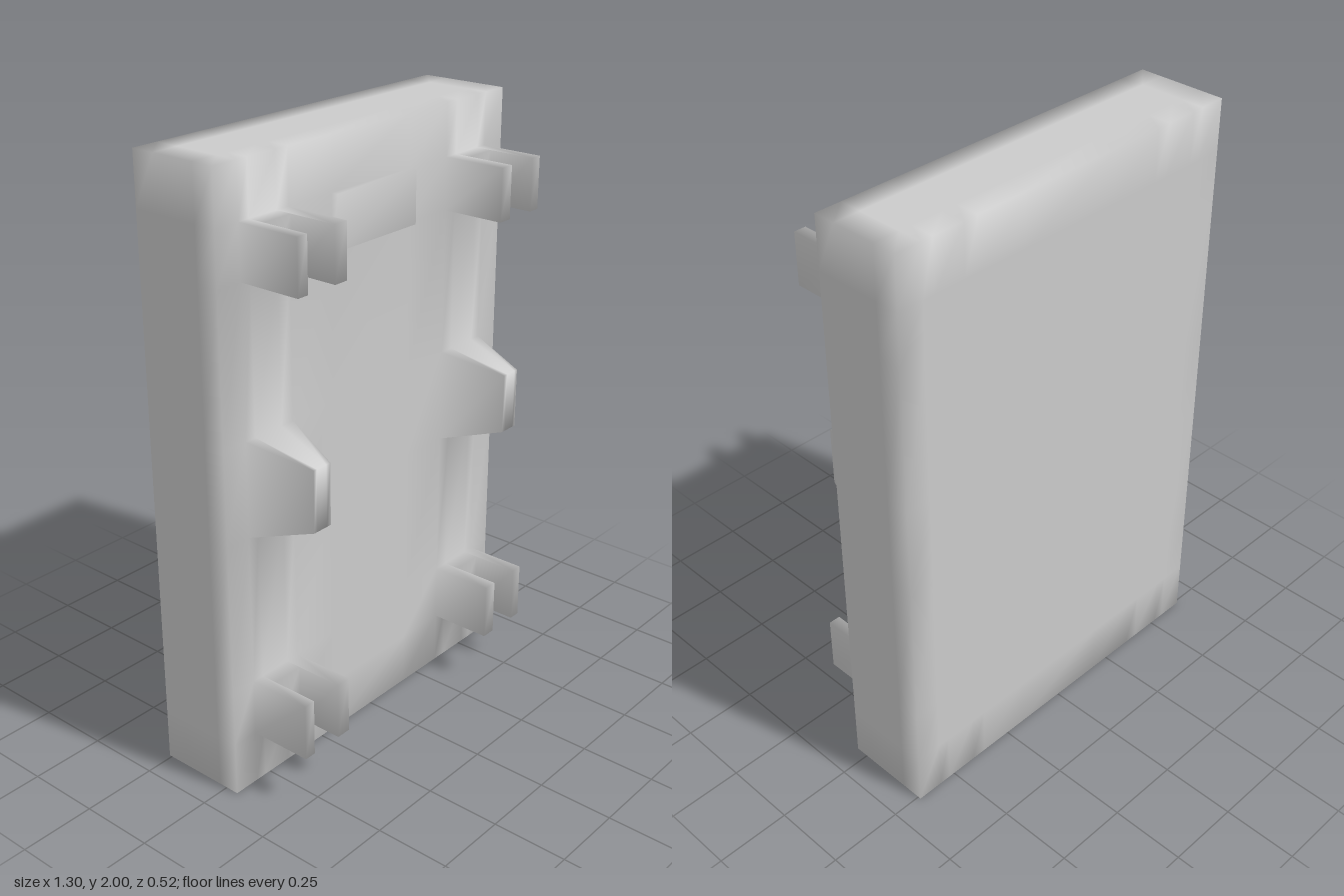
import * as THREE from 'three';
import { mergeVertices } from 'three/addons/utils/BufferGeometryUtils.js';

// Shared grid: every part grows out of cells of the front face
const XS = [-0.65, -0.56, -0.52, -0.41, -0.36, -0.18, 0.18, 0.36, 0.41, 0.52, 0.56, 0.65];
const YS = [0, 0.18, 0.37, 0.87, 1.18, 1.66, 1.83, 2];
const ZS = [-0.26, -0.18, -0.03, 0.045];
const NX = XS.length - 1, NY = YS.length - 1, BACK = ZS[0], FRONT = ZS[3];

// What stands on a front cell: part name and height
function cellAt(i, j) {
  const k = Math.min(i, NX - 1 - i); // mirrored column
  const side = i < NX / 2 ? 'right' : 'left';
  if (k >= 1 && k <= 3) {
    if (j === 1 || j === 5) return { part: side + (j === 1 ? 'LowerClip' : 'UpperClip'), z: k === 2 ? 0.1 : 0.258 };
    if (j === 3) return { part: side + 'Wedge', z: 0.25, taper: true };
  }
  if (k === 5 && j === 5) return { part: 'latch', z: 0.07 };
  return { part: 'slab', z: FRONT };
}

// Corner of a cell at its own height; wedge tops shrink toward their centre
function corner(i, j, cell) {
  let x = XS[i], y = YS[j];
  if (cell.taper) {
    const cx = Math.sign(x) * 0.465;
    x = cx + (x - cx) * 0.36;
    y = 1.03 + (y - 1.025) * 0.645;
  }
  return [x, y, cell.z];
}

export function createModel() {
  const group = new THREE.Group();
  const parts = {};
  const quad = (name, a, b, c, d) => (parts[name] ??= []).push(...a, ...b, ...c, ...a, ...c, ...d);

  for (let i = 0; i < NX; i++) {
    for (let j = 0; j < NY; j++) {
      const a = cellAt(i, j);
      const [x0, x1, y0, y1] = [XS[i], XS[i + 1], YS[j], YS[j + 1]];
      // Front caps and back panel
      quad(a.part, corner(i, j, a), corner(i + 1, j, a), corner(i + 1, j + 1, a), corner(i, j + 1, a));
      quad('slab', [x1, y0, BACK], [x0, y0, BACK], [x0, y1, BACK], [x1, y1, BACK]);
      // Walls where neighbouring cells differ in height
      if (i < NX - 1) {
        const b = cellAt(i + 1, j);
        if (a.z !== b.z) {
          quad(a.z > b.z ? a.part : b.part,
            corner(i + 1, j, a), corner(i + 1, j, b), corner(i + 1, j + 1, b), corner(i + 1, j + 1, a));
        }
      }
      if (j < NY - 1) {
        const b = cellAt(i, j + 1);
        if (a.z !== b.z) {
          quad(a.z > b.z ? a.part : b.part,
            corner(i, j + 1, a), corner(i + 1, j + 1, a), corner(i + 1, j + 1, b), corner(i, j + 1, b));
        }
      }
    }
  }

  // Rim of the slab
  for (let k = 0; k < ZS.length - 1; k++) {
    const [z0, z1] = [ZS[k], ZS[k + 1]];
    for (let i = 0; i < NX; i++) {
      const [x0, x1] = [XS[i], XS[i + 1]];
      quad('slab', [x0, 2, z1], [x1, 2, z1], [x1, 2, z0], [x0, 2, z0]);
      quad('slab', [x0, 0, z0], [x1, 0, z0], [x1, 0, z1], [x0, 0, z1]);
    }
    for (let j = 0; j < NY; j++) {
      const [y0, y1] = [YS[j], YS[j + 1]];
      quad('slab', [0.65, y0, z1], [0.65, y0, z0], [0.65, y1, z0], [0.65, y1, z1]);
      quad('slab', [-0.65, y0, z0], [-0.65, y0, z1], [-0.65, y1, z1], [-0.65, y1, z0]);
    }
  }

  // Weld everything so the soft shading flows across parts
  const all = new THREE.BufferGeometry();
  all.setAttribute('position', new THREE.Float32BufferAttribute(Object.values(parts).flat(), 3));
  const welded = mergeVertices(all);
  welded.computeVertexNormals();

  // Split back into one named mesh per part
  const material = new THREE.MeshStandardMaterial({ color: 0xcccccc });
  const smooth = welded.toNonIndexed();
  let start = 0;
  for (const [name, points] of Object.entries(parts)) {
    const geometry = new THREE.BufferGeometry();
    for (const key of ['position', 'normal']) {
      const data = smooth.getAttribute(key).array.slice(start, start + points.length);
      geometry.setAttribute(key, new THREE.BufferAttribute(data, 3));
    }
    start += points.length;
    const mesh = new THREE.Mesh(geometry, material);
    mesh.name = name;
    group.add(mesh);
  }
  return group;
}
